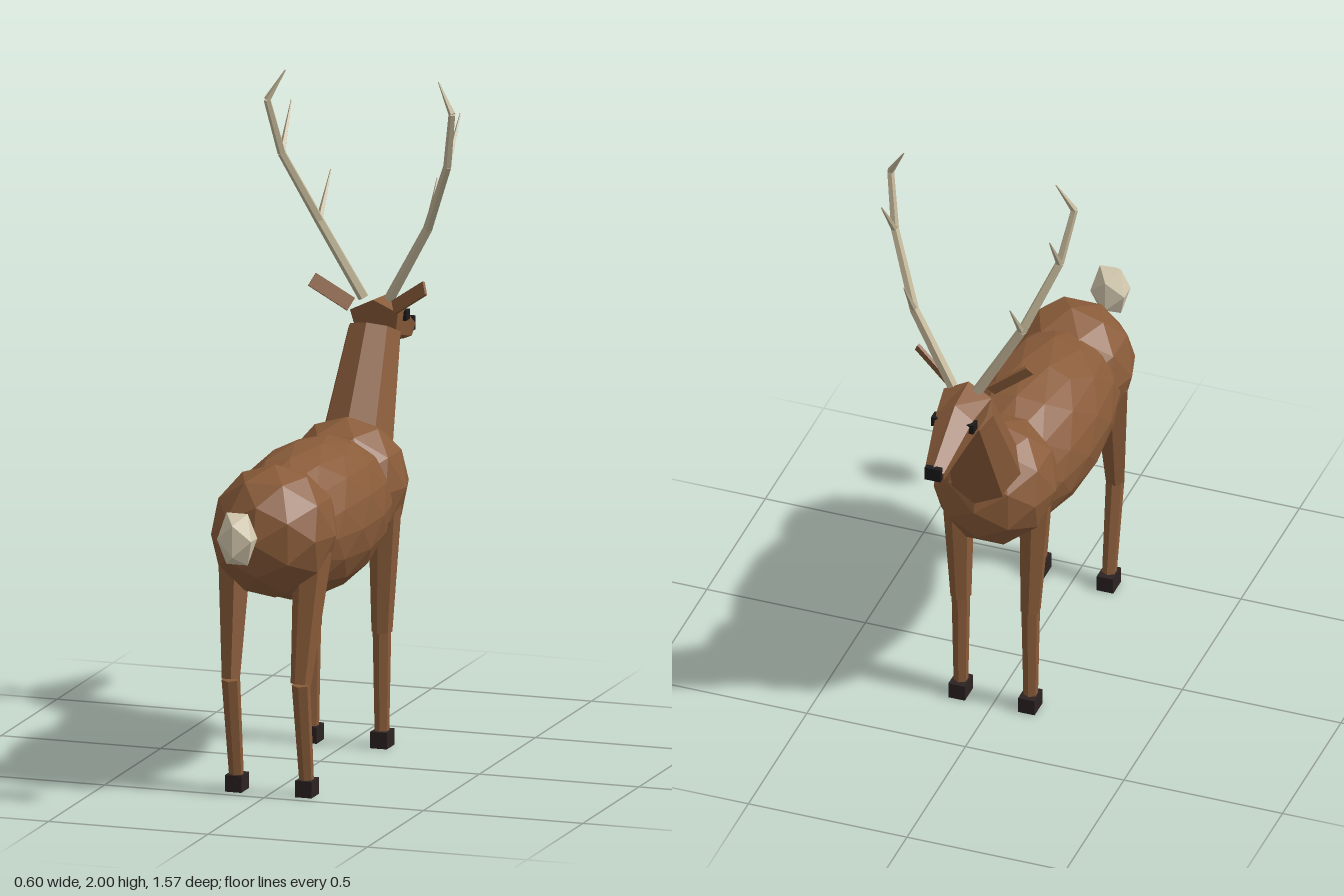
import * as THREE from 'three';

const flat = (name, color) => {
  const m = new THREE.MeshStandardMaterial({ color, flatShading: true });
  m.name = name;
  return m;
};

export function createModel() {
  const model = new THREE.Group();
  model.name = 'stag';
  const fur = flat('brown fur', 0x8a5c3a);
  const bone = flat('antler bone', 0xc2b698);
  const cream = flat('cream tail', 0xd8cdb2);
  const hoofMat = flat('dark hoof', 0x2c2322);
  const black = flat('black', 0x1c1a1a);

  const add = (name, geo, mat, pos = [0, 0, 0], parent = model) => {
    const mesh = new THREE.Mesh(geo, mat);
    mesh.name = name;
    mesh.position.set(...pos);
    parent.add(mesh);
    return mesh;
  };

  // Tapered faceted limb running from point a to point b
  const limb = (name, a, b, ra, rb, sides, mat, parent = model) => {
    const A = new THREE.Vector3(...a), B = new THREE.Vector3(...b);
    const dir = B.clone().sub(A);
    const mesh = add(name, new THREE.CylinderGeometry(rb, ra, dir.length(), sides), mat, [0, 0, 0], parent);
    mesh.position.copy(A).add(B).multiplyScalar(0.5);
    mesh.quaternion.setFromUnitVectors(new THREE.Vector3(0, 1, 0), dir.normalize());
    return mesh;
  };

  const blob = (name, pos, radii, detail, mat) =>
    add(name, new THREE.IcosahedronGeometry(1, detail).scale(...radii), mat, pos);

  // Torso and tail
  blob('barrel', [0, 0.765, 0.1], [0.208, 0.23, 0.46], 2, fur);
  blob('chest', [0, 0.795, -0.235], [0.188, 0.2, 0.195], 1, fur);
  blob('haunches', [0, 0.79, 0.405], [0.192, 0.202, 0.197], 1, fur);
  blob('tail', [0, 0.84, 0.74], [0.063, 0.092, 0.053], 0, cream);

  // Neck
  limb('neck', [0, 0.77, -0.265], [0, 1.205, -0.487], 0.125, 0.082, 8, fur);

  // Head: hexagonal rings lofted from the nape to the muzzle
  // each ring: [top y, top z, bottom y, bottom z, half width]
  const rings = [
    [1.298, -0.472, 1.165, -0.505, 0.075],
    [1.288, -0.59, 1.145, -0.6, 0.058],
    [1.182, -0.775, 1.12, -0.747, 0.03],
  ];
  const verts = [], faces = [], n = 6;
  for (const [ty, tz, by, bz, w] of rings) {
    for (const [k, t] of [[0, 0], [1, 0.28], [0.8, 0.85], [0, 1], [-0.8, 0.85], [-1, 0.28]]) {
      verts.push(k * w, ty + (by - ty) * t, tz + (bz - tz) * t);
    }
  }
  for (let r = 0; r < rings.length - 1; r++) {
    for (let i = 0; i < n; i++) {
      const a = r * n + i, b = r * n + (i + 1) % n;
      faces.push(a, b, b + n, a, b + n, a + n);
    }
  }
  const last = (rings.length - 1) * n;
  for (let i = 1; i < n - 1; i++) {
    faces.push(0, i + 1, i);
    faces.push(last, last + i, last + i + 1);
  }
  // Orient every triangle away from the middle of the head
  const P = (i) => new THREE.Vector3(verts[i * 3], verts[i * 3 + 1], verts[i * 3 + 2]);
  const middle = new THREE.Vector3(0, 1.215, -0.58);
  for (let f = 0; f < faces.length; f += 3) {
    const [a, b, c] = faces.slice(f, f + 3).map(P);
    const normal = b.clone().sub(a).cross(c.clone().sub(a));
    const out = a.clone().add(b).add(c).divideScalar(3).sub(middle);
    if (normal.dot(out) < 0) [faces[f + 1], faces[f + 2]] = [faces[f + 2], faces[f + 1]];
  }
  const headGeo = new THREE.BufferGeometry();
  headGeo.setAttribute('position', new THREE.Float32BufferAttribute(verts, 3));
  headGeo.setIndex(faces);
  const flatHead = headGeo.toNonIndexed();
  flatHead.computeVertexNormals();
  add('head', flatHead, fur);
  add('nose', new THREE.BoxGeometry(0.05, 0.042, 0.018), black, [0, 1.163, -0.773]);

  // Mirrored parts
  for (const s of [1, -1]) {
    const side = s > 0 ? 'left' : 'right';
    const at = (x, y, z) => [s * x, y, z];

    add(side + 'Eye', new THREE.BoxGeometry(0.022, 0.03, 0.034), black, at(0.056, 1.23, -0.597));

    // Ear: thin slanted plate
    const along = new THREE.Vector3(s * 0.8, 0.55, 0.255).normalize();
    const facing = new THREE.Vector3(s * -0.48, 0.33, 0.8);
    facing.addScaledVector(along, -facing.dot(along)).normalize();
    const across = facing.clone().cross(along);
    const ear = add(side + 'Ear', new THREE.BoxGeometry(0.138, 0.044, 0.009), fur, at(0.122, 1.318, -0.45));
    ear.quaternion.setFromRotationMatrix(new THREE.Matrix4().makeBasis(along, across, facing));

    // Antler: bent beam with two tines
    const antler = new THREE.Group();
    antler.name = side + 'Antler';
    model.add(antler);
    const beam = [[0.04, 1.295, -0.505], [0.17, 1.525, -0.48], [0.26, 1.74, -0.4], [0.29, 1.91, -0.355], [0.24, 2.0, -0.375]];
    const radii = [0.017, 0.015, 0.013, 0.011, 0.002];
    for (let i = 0; i < 4; i++) {
      limb('beam', at(...beam[i]), at(...beam[i + 1]), radii[i], radii[i + 1], 5, bone, antler);
    }
    limb('lowerTine', at(...beam[1]), at(0.167, 1.66, -0.573), 0.011, 0.002, 5, bone, antler);
    limb('upperTine', at(...beam[2]), at(0.265, 1.88, -0.5), 0.011, 0.002, 5, bone, antler);

    // Legs: hip, knee, ankle and radii
    for (const [end, hip, knee, ankle, r] of [
      ['Front', [0.122, 0.74, -0.232], [0.11, 0.35, -0.24], [0.11, 0.04, -0.24], 0.05],
      ['Hind', [0.122, 0.74, 0.412], [0.11, 0.35, 0.483], [0.11, 0.04, 0.432], 0.058],
    ]) {
      const leg = new THREE.Group();
      leg.name = side + end + 'Leg';
      model.add(leg);
      limb('upperLeg', at(...hip), at(...knee), r, 0.031, 6, fur, leg);
      limb('lowerLeg', at(...knee), at(...ankle), 0.028, 0.022, 6, fur, leg);
      add('hoof', new THREE.BoxGeometry(0.052, 0.05, 0.068), hoofMat, at(0.11, 0.025, ankle[2] - 0.003), leg);
    }
  }
  return model;
}
